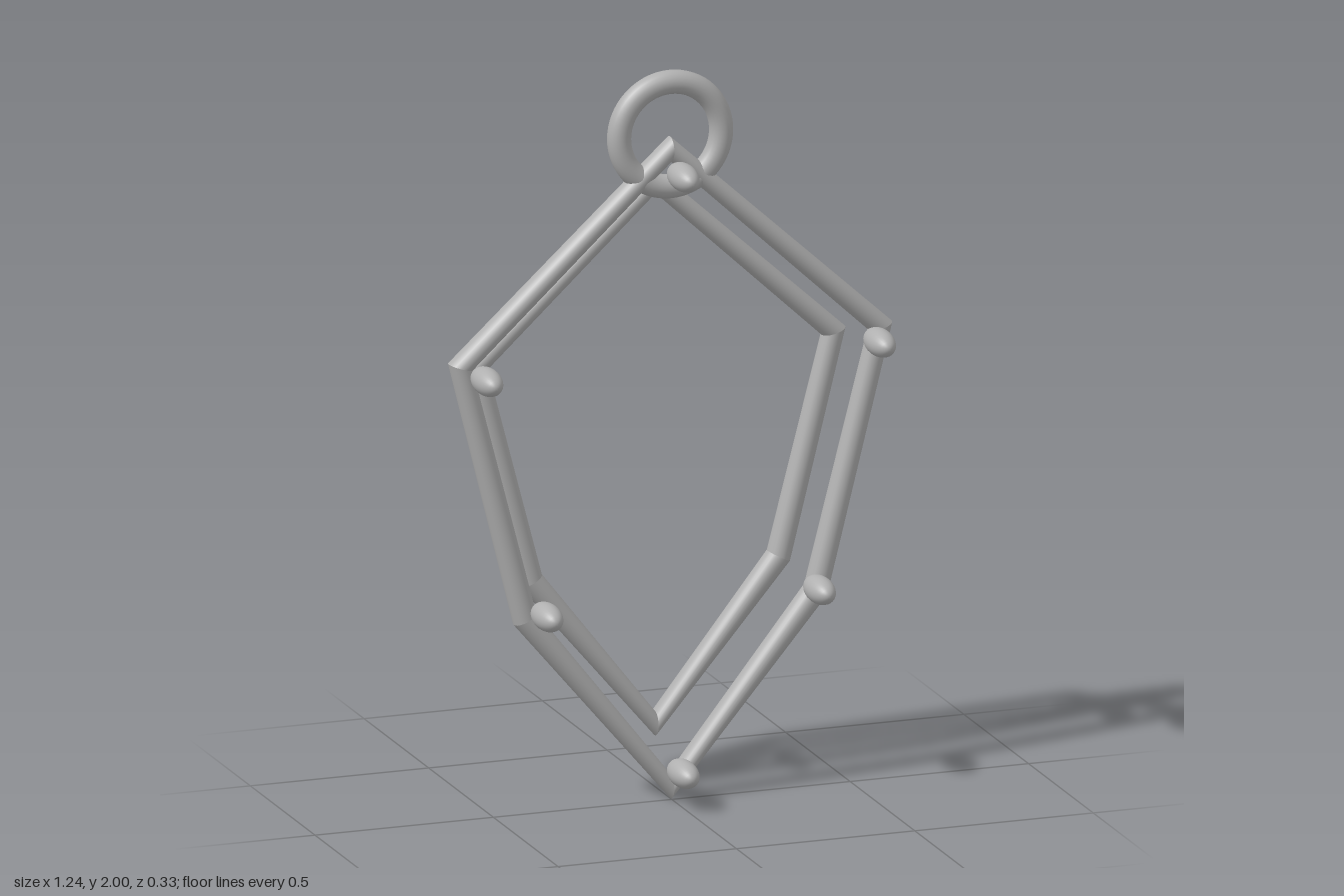
import * as THREE from 'three';

const SIDES = 24;
const CENTRE_Y = 0.985;

// Corners of the pendant outline (right half mirrored to the left), scaled about its middle
function outline(scale) {
  const half = [[0, 1.785], [0.588, 1.244], [0.408, 0.537], [0, 0.038]];
  const all = [...half, ...half.slice(1, 3).reverse().map(([x, y]) => [-x, y])];
  return all.map(([x, y]) => new THREE.Vector2(x * scale, CENTRE_Y + (y - CENTRE_Y) * scale));
}

// Closed round-bar frame: one ring per corner, turned to the corner's bisector;
// every bar has its own vertices so the corners stay crisp
function frameGeometry(corners, radius) {
  const n = corners.length;
  const rings = corners.map((p, i) => {
    const a = p.clone().sub(corners[(i + n - 1) % n]).normalize();
    const b = corners[(i + 1) % n].clone().sub(p).normalize();
    const t = a.add(b).normalize();
    const ring = [];
    for (let k = 0; k < SIDES; k++) {
      const ang = (k / SIDES) * Math.PI * 2;
      const out = Math.cos(ang) * radius;
      ring.push([p.x - t.y * out, p.y + t.x * out, Math.sin(ang) * radius]);
    }
    return ring;
  });
  const positions = [], index = [];
  for (let i = 0; i < n; i++) {
    const base = positions.length / 3;
    for (const ring of [rings[i], rings[(i + 1) % n]]) ring.forEach((v) => positions.push(...v));
    for (let k = 0; k < SIDES; k++) {
      const a = base + k, b = base + ((k + 1) % SIDES);
      index.push(a, a + SIDES, b, b, a + SIDES, b + SIDES);
    }
  }
  const geo = new THREE.BufferGeometry();
  geo.setAttribute('position', new THREE.Float32BufferAttribute(positions, 3));
  geo.setIndex(index);
  geo.computeVertexNormals();
  return geo;
}

export function createModel() {
  const group = new THREE.Group();
  group.name = 'pendant';
  const metal = new THREE.MeshStandardMaterial({ color: 0xb0b0b0, side: THREE.DoubleSide });
  metal.name = 'grey metal';

  const add = (name, geometry, x, y, z) => {
    const mesh = new THREE.Mesh(geometry, metal);
    mesh.name = name;
    mesh.position.set(x, y, z);
    group.add(mesh);
    return mesh;
  };

  // Two nested frames, the smaller one set behind
  add('frontFrame', frameGeometry(outline(1), 0.034), 0, 0, -0.013);
  add('backFrame', frameGeometry(outline(0.852), 0.034), 0, 0, -0.135);

  // Hanging ring at the top
  add('hangingRing', new THREE.TorusGeometry(0.143, 0.032, 20, 64), 0, 1.825, -0.013);

  // Elongated beads standing out in front of each corner (two on each side)
  const bead = new THREE.SphereGeometry(1, 28, 18).rotateX(Math.PI / 2).scale(0.037, 0.037, 0.076);
  outline(0.936).forEach((p, i) => add('bead' + (i + 1), bead, p.x, p.y, 0.089));

  return group;
}
